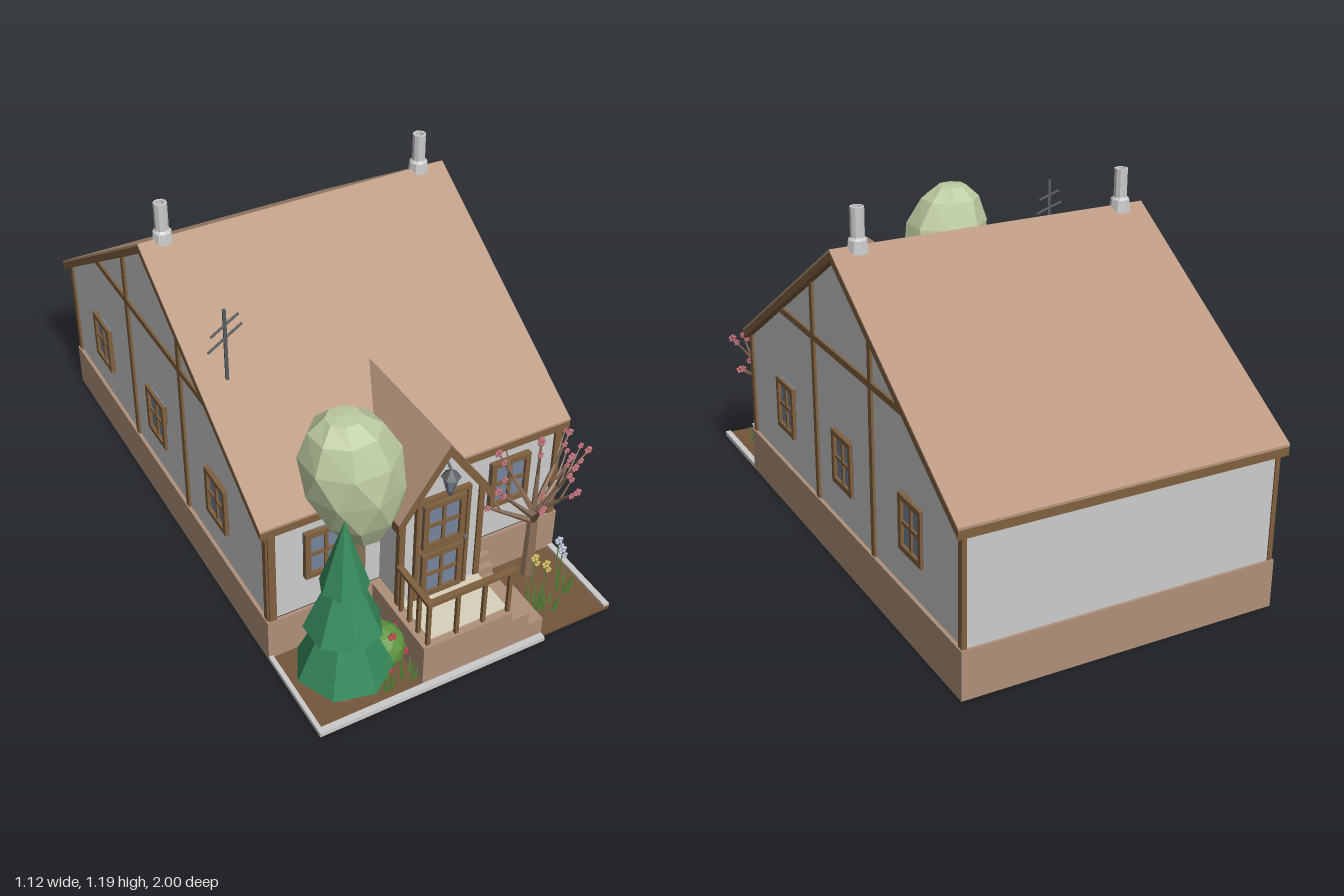
import * as THREE from 'three';

const mat = (color) => new THREE.MeshStandardMaterial({ color, flatShading: true, side: THREE.DoubleSide });
const M = {
  grey: mat(0xcccccc), roof: mat(0xb8957d), base: mat(0xb0907a), timber: mat(0x80603f), frame: mat(0x917052),
  glass: mat(0x75849c), soil: mat(0x74563a), stone: mat(0xd8d2bc), metal: mat(0x5c6064), bark: mat(0x8d7059),
  pine: mat(0x368a5c), leaf: mat(0xbccba0), bush: mat(0x5f9440), grass: mat(0x55843a), red: mat(0xc04048),
  pink: mat(0xc4707c), yellow: mat(0xd0bc60), white: mat(0xc0c4d8),
};
const CX = -0.015; // house centre line
const RIDGE_Z = -0.19, RIDGE_Y = 1.08, SLOPE = 0.648;
const roofY = (z) => RIDGE_Y - Math.abs(z - RIDGE_Z) * SLOPE;

function add(parent, name, geo, material, x = 0, y = 0, z = 0) {
  const m = new THREE.Mesh(geo, material);
  m.name = name;
  m.position.set(x, y, z);
  parent.add(m);
  return m;
}
// Box from its limits
function box(p, name, material, x0, x1, y0, y1, z0, z1) {
  return add(p, name, new THREE.BoxGeometry(x1 - x0, y1 - y0, z1 - z0), material, (x0 + x1) / 2, (y0 + y1) / 2, (z0 + z1) / 2);
}
function group(parent, name, x = 0, y = 0, z = 0) {
  const g = new THREE.Group();
  g.name = name;
  g.position.set(x, y, z);
  parent.add(g);
  return g;
}
// Tapered round bar between two points
function bar(p, name, material, a, b, r0, r1 = r0, sides = 6) {
  const A = new THREE.Vector3(...a), B = new THREE.Vector3(...b), d = B.clone().sub(A);
  const m = add(p, name, new THREE.CylinderGeometry(r1, r0, d.length(), sides), material);
  m.position.copy(A).add(B).multiplyScalar(0.5);
  m.quaternion.setFromUnitVectors(new THREE.Vector3(0, 1, 0), d.normalize());
  return m;
}
function extrude(points, depth) {
  const s = new THREE.Shape(points.map(([x, y]) => new THREE.Vector2(x, y)));
  return new THREE.ExtrudeGeometry(s, { depth, bevelEnabled: false });
}
// Profile in (z, y), extruded across x from x0 to x1
const across = (points, x0, x1) => extrude(points, x1 - x0).rotateY(-Math.PI / 2).translate(x1, 0, 0);

// Four-pane window facing +z, centred on its origin
function paned(parent, name, w, h, x, y, z, turn = 0) {
  const g = group(parent, name, x, y, z), t = 0.018;
  g.rotation.y = turn;
  box(g, 'glass', M.glass, -w / 2, w / 2, -h / 2, h / 2, -0.002, 0.003);
  for (const s of [-1, 1]) {
    add(g, 'frameSide', new THREE.BoxGeometry(t, h, 0.02), M.timber, s * (w - t) / 2, 0, 0.004);
    add(g, 'frameRail', new THREE.BoxGeometry(w, t, 0.02), M.timber, 0, s * (h - t) / 2, 0.004);
  }
  add(g, 'mullion', new THREE.BoxGeometry(0.011, h, 0.012), M.timber, 0, 0, 0.004);
  add(g, 'crossbar', new THREE.BoxGeometry(w, 0.011, 0.012), M.timber, 0, 0, 0.004);
}

function house(root) {
  const g = group(root, 'house', CX);
  // Hollow plinth and walls
  for (const s of [-1, 1]) {
    const x = s * 0.523;
    box(g, 'plinthSide', M.base, x - 0.007, x + 0.007, 0.01, 0.17, -0.99, 0.62);
    const wall = [[-0.98, 0.17], [0.605, 0.17], [0.605, roofY(0.605) - 0.02], [RIDGE_Z, RIDGE_Y - 0.02], [-0.98, roofY(-0.98) - 0.02]];
    add(g, 'gableWall', across(wall, s * 0.514 - 0.004, s * 0.514 + 0.004), M.grey);
    // Timber framing on the gables
    const post = (z) => box(g, 'gablePost', M.timber, s * 0.518 - 0.008, s * 0.518 + 0.008, 0.17, roofY(z) - 0.03, z - 0.011, z + 0.011);
    [0.6, 0.02, -0.41, -0.975].forEach(post);
    box(g, 'gableBeam', M.timber, s * 0.518 - 0.008, s * 0.518 + 0.008, 0.72, 0.742, -0.7, 0.32);
    for (const z of [0.27, -0.2, -0.68]) paned(g, 'sideWindow', 0.145, 0.18, s * 0.52, 0.39, z, s * Math.PI / 2);
    box(g, 'frontPost', M.timber, s * 0.508 - 0.012, s * 0.508 + 0.012, 0.17, 0.53, 0.595, 0.617);
    paned(g, 'frontWindow', 0.145, 0.18, s * 0.328, 0.39, 0.612);
  }
  for (const z of [0.615, -0.985]) box(g, 'plinthEnd', M.base, -0.53, 0.53, 0.01, 0.17, z - 0.006, z + 0.006);
  for (const z of [0.603, -0.978]) box(g, 'wallEnd', M.grey, -0.514, 0.514, 0.17, 0.54, z - 0.004, z + 0.004);
  // Roof covering over a timber layer
  const chevron = (top, bottom) => {
    const end = (z, d) => [z, roofY(z) - d];
    return [end(-1, top), [RIDGE_Z, RIDGE_Y - top], end(0.62, top), end(0.62, bottom), [RIDGE_Z, RIDGE_Y - bottom], end(-1, bottom)];
  };
  add(g, 'roof', across(chevron(0, 0.008), -0.545, 0.545), M.roof);
  add(g, 'roofTimber', across(chevron(0.008, 0.036), -0.544, 0.544), M.timber);
  // Chimneys with hollow pipes
  for (const x of [-0.46, 0.455]) {
    const c = group(g, 'chimney', x, 0, -0.195);
    add(c, 'collar', new THREE.CylinderGeometry(0.03, 0.035, 0.04, 8), M.grey, 0, 1.08, 0);
    const pipe = [[0.03, 1.1], [0.022, 1.108], [0.022, 1.2], [0.014, 1.2], [0.014, 1.1]];
    add(c, 'pipe', new THREE.LatheGeometry(pipe.map((p) => new THREE.Vector2(...p)), 10), M.grey);
  }
  // Aerial
  const a = group(g, 'aerial', -0.45, 0, 0.225);
  bar(a, 'mast', M.metal, [0, 0.8, 0], [0, 1.06, 0], 0.006);
  for (const [y, h] of [[1.005, 0.8], [0.96, 1]]) bar(a, 'aerialBar', M.metal, [-0.075 * h, y, 0.045 * h], [0.075 * h, y, -0.045 * h], 0.004);
}

function porch(root) {
  const g = group(root, 'porch', CX), S = 1.44, top = 0.77;
  // Porch walls and posts
  const wall = [[-0.135, 0.17], [0.135, 0.17], [0.135, top - 0.02 - 0.135 * S], [0, top - 0.02], [-0.135, top - 0.02 - 0.135 * S]];
  add(g, 'porchGable', extrude(wall, 0.01).translate(0, 0, 0.725), M.grey);
  for (const s of [-1, 1]) {
    box(g, 'porchSide', M.grey, s * 0.13 - 0.004, s * 0.13 + 0.004, 0.17, 0.55, 0.6, 0.73);
    box(g, 'porchPost', M.timber, s * 0.138 - 0.01, s * 0.138 + 0.01, 0.17, 0.55, 0.722, 0.742);
    // Roof slope that dies into the main roof
    const e = s * 0.167, slope = new THREE.BufferGeometry();
    const P = [[0, top, 0.765], [e, 0.53, 0.765], [e, 0.53, 0.61], [0, top, 0.285]];
    slope.setAttribute('position', new THREE.Float32BufferAttribute(P.flat(), 3));
    slope.setIndex(s > 0 ? [0, 1, 2, 0, 2, 3] : [0, 2, 1, 0, 3, 2]);
    slope.computeVertexNormals();
    add(g, 'porchRoof', slope, M.roof);
  }
  const board = [[-0.167, 0.53], [0, top], [0.167, 0.53], [0.167, 0.495], [0.15, 0.515], [0, top - 0.04], [-0.15, 0.515], [-0.167, 0.495]];
  add(g, 'bargeBoard', extrude(board, 0.04).translate(0, -0.002, 0.726), M.timber);
  // Door with glazed upper and lower leaves
  const d = group(g, 'door', -0.002, 0, 0.74);
  box(d, 'doorPanel', M.frame, -0.092, 0.092, 0.175, 0.572, -0.006, 0.004);
  for (const s of [-1, 1]) box(d, 'doorJamb', M.timber, s * 0.088 - 0.006, s * 0.088 + 0.006, 0.175, 0.572, -0.004, 0.012);
  box(d, 'doorHead', M.timber, -0.094, 0.094, 0.56, 0.574, -0.004, 0.012);
  box(d, 'doorLedge', M.timber, -0.085, 0.085, 0.362, 0.372, 0, 0.014);
  paned(d, 'upperPane', 0.145, 0.175, 0, 0.468, 0.005);
  paned(d, 'lowerPane', 0.145, 0.175, 0, 0.268, 0.005);
  add(d, 'doorKnob', new THREE.IcosahedronGeometry(0.008, 0), M.metal, 0.078, 0.375, 0.016);
  // Lantern
  const l = group(g, 'lantern', 0.003, 0, 0.768);
  add(l, 'lanternGlass', new THREE.CylinderGeometry(0.024, 0.012, 0.05, 6), M.glass, 0, 0.63, 0);
  add(l, 'lanternCap', new THREE.ConeGeometry(0.031, 0.03, 6), M.metal, 0, 0.67, 0);
  add(l, 'lanternFoot', new THREE.CylinderGeometry(0.014, 0.006, 0.02, 6), M.metal, 0, 0.595, 0);
  bar(l, 'lanternHook', M.metal, [0, 0.68, 0], [0, 0.7, -0.03], 0.004);
  for (let i = 0; i < 6; i++) {
    const t = i * Math.PI / 3, x = Math.sin(t), z = Math.cos(t);
    bar(l, 'lanternRib', M.metal, [x * 0.012, 0.605, z * 0.012], [x * 0.025, 0.657, z * 0.025], 0.002, 0.002, 4);
  }
  // Stoop, steps and railing
  box(g, 'stoop', M.base, -0.165, 0.15, 0.012, 0.168, 0.62, 0.93);
  box(g, 'stoopTop', M.stone, -0.132, 0.145, 0.165, 0.173, 0.735, 0.905);
  box(g, 'upperStep', M.base, 0.15, 0.215, 0.012, 0.132, 0.76, 0.93);
  box(g, 'lowerStep', M.base, 0.215, 0.27, 0.012, 0.082, 0.76, 0.93);
  for (let i = 0; i < 3; i++) box(g, 'sideStep', M.base, 0.15, 0.26, 0.012, 0.12 - i * 0.033, 0.62 + i * 0.022, 0.642 + i * 0.022);
  box(g, 'frontRail', M.timber, -0.155, 0.16, 0.33, 0.343, 0.905, 0.925);
  box(g, 'sideRail', M.timber, -0.155, -0.135, 0.33, 0.343, 0.74, 0.925);
  for (const x of [-0.145, -0.045, 0.05, 0.14]) box(g, 'baluster', M.timber, x - 0.006, x + 0.006, 0.168, 0.335, 0.909, 0.921);
  for (const z of [0.76, 0.81, 0.86]) box(g, 'baluster', M.timber, -0.151, -0.139, 0.168, 0.335, z - 0.006, z + 0.006);
}

// Five-petal flower head
function flower(parent, material, x, y, z, r = 0.009) {
  const f = group(parent, 'flower', x, y, z);
  for (let i = 0; i < 5; i++) {
    const t = i * Math.PI * 0.4;
    add(f, 'petal', new THREE.IcosahedronGeometry(r * 0.7, 0), material, Math.sin(t) * r, Math.cos(t) * r, 0);
  }
}
function blades(parent, x, z, h, n) {
  const g = group(parent, 'grassTuft', x, 0.015, z);
  for (let i = 0; i < n; i++) {
    const t = i * 2.4, k = h * (0.6 + 0.4 * Math.abs(Math.cos(i * 1.7)));
    const b = [Math.sin(t) * 0.022, 0, Math.cos(t) * 0.022];
    bar(g, 'blade', M.grass, b, [b[0] * 1.5, k, b[2] * 1.5], 0.008, 0.0005, 4);
  }
}

function garden(root) {
  const g = group(root, 'garden');
  box(g, 'soil', M.soil, -0.54, 0.51, 0.01, 0.018, 0.615, 0.94);
  box(g, 'frontCurb', M.grey, -0.545, 0.25, 0.01, 0.026, 0.935, 0.957);
  box(g, 'sideCurb', M.grey, -0.545, -0.53, 0.01, 0.026, 0.62, 0.957);
  box(g, 'sideCurb', M.grey, 0.495, 0.515, 0.01, 0.026, 0.62, 0.935);
  // Conifer of three tiers
  const p = group(g, 'conifer', -0.41, 0, 0.85);
  bar(p, 'trunk', M.bark, [0, 0.015, 0], [0, 0.18, 0], 0.037, 0.035, 8);
  [[0.152, 0.35, 0.15, 0.065], [0.32, 0.5, 0.12, 0.045], [0.48, 0.72, 0.075, 0.001]].forEach(([y0, y1, r0, r1], i) => {
    const tier = add(p, 'tier', new THREE.CylinderGeometry(r1, r0, y1 - y0, 7), M.pine, 0, (y0 + y1) / 2, 0);
    tier.rotation.y = i * 0.5 + 0.2;
  });
  // Broad tree: rings shifted by height
  const t = group(g, 'broadTree', -0.29, 0, 0.69);
  bar(t, 'trunk', M.bark, [0.01, 0.015, 0], [0.01, 0.55, 0], 0.03, 0.026, 7);
  const prof = [[0, 0.47], [0.065, 0.48], [0.125, 0.58], [0.158, 0.7], [0.153, 0.81], [0.11, 0.9], [0.055, 0.945], [0, 0.95]];
  const crown = new THREE.LatheGeometry(prof.map((q) => new THREE.Vector2(...q)), 8), v = crown.attributes.position;
  for (let i = 0; i < v.count; i++) {
    const y = v.getY(i), w = Math.sin(y * 9) * 0.5, x = v.getX(i), z = v.getZ(i);
    v.setXYZ(i, x * Math.cos(w) + z * Math.sin(w) + (0.7 - y) * 0.15, y, (z * Math.cos(w) - x * Math.sin(w)) * 0.9);
  }
  add(t, 'crown', crown, M.leaf);
  // Blossom tree: limbs with side twigs
  const b = group(g, 'blossomTree', 0.365, 0, 0.69);
  bar(b, 'trunk', M.bark, [0, 0.015, 0], [0, 0.3, 0], 0.023, 0.016, 7);
  const limbs = [[-0.22, 0.42, 0.01], [-0.19, 0.5, 0.06], [-0.11, 0.53, -0.06], [-0.005, 0.585, 0.01], [0.08, 0.5, 0.08],
    [0.15, 0.52, -0.05], [0.175, 0.49, 0.02], [0.18, 0.4, -0.06], [0.05, 0.46, 0.14], [-0.06, 0.42, 0.12]];
  limbs.forEach(([x, y, z], i) => {
    const s = 0.25 + (i % 3) * 0.02, at = (k) => [x * k, s + (y - s) * k, z * k];
    bar(b, 'limb', M.bark, at(0), [x, y, z], 0.011, 0.003, 5);
    flower(b, M.pink, x, y, z);
    for (const side of [-1, 1]) {
      const tip = at(0.85);
      tip[0] += side * 0.022; tip[1] += 0.03; tip[2] -= side * 0.03;
      bar(b, 'twig', M.bark, at(0.6), tip, 0.005, 0.002, 4);
      flower(b, M.pink, ...tip, 0.007);
    }
  });
  // Flowering bush
  const u = group(g, 'bush', -0.25, 0.09, 0.79);
  add(u, 'bushLeaves', new THREE.IcosahedronGeometry(0.08, 1), M.bush);
  for (let i = 0; i < 9; i++) {
    const a = i * 2.4, y = -0.06 + i * 0.016, r = Math.sqrt(0.0068 - y * y);
    flower(u, M.red, Math.sin(a) * r, y, Math.cos(a) * r);
  }
  // Grass tufts and stemmed flowers
  for (const [x, z, h, n] of [[0.3, 0.82, 0.1, 7], [0.34, 0.85, 0.08, 5], [0.43, 0.8, 0.09, 6], [-0.28, 0.88, 0.09, 6], [-0.2, 0.88, 0.1, 4]]) blades(g, x, z, h, n);
  for (const [x, z, c] of [[0.345, 0.75, 'yellow'], [0.36, 0.79, 'yellow'], [0.445, 0.76, 'white'], [0.46, 0.72, 'white']]) {
    bar(g, 'stem', M.grass, [x, 0.015, z], [x, 0.14, z], 0.003, 0.002, 4);
    flower(g, M[c], x, 0.145, z, 0.01);
    flower(g, M[c], x + 0.012, 0.115, z, 0.007);
  }
}

export function createModel() {
  const root = new THREE.Group();
  root.name = 'cottage';
  house(root);
  porch(root);
  garden(root);
  return root;
}
